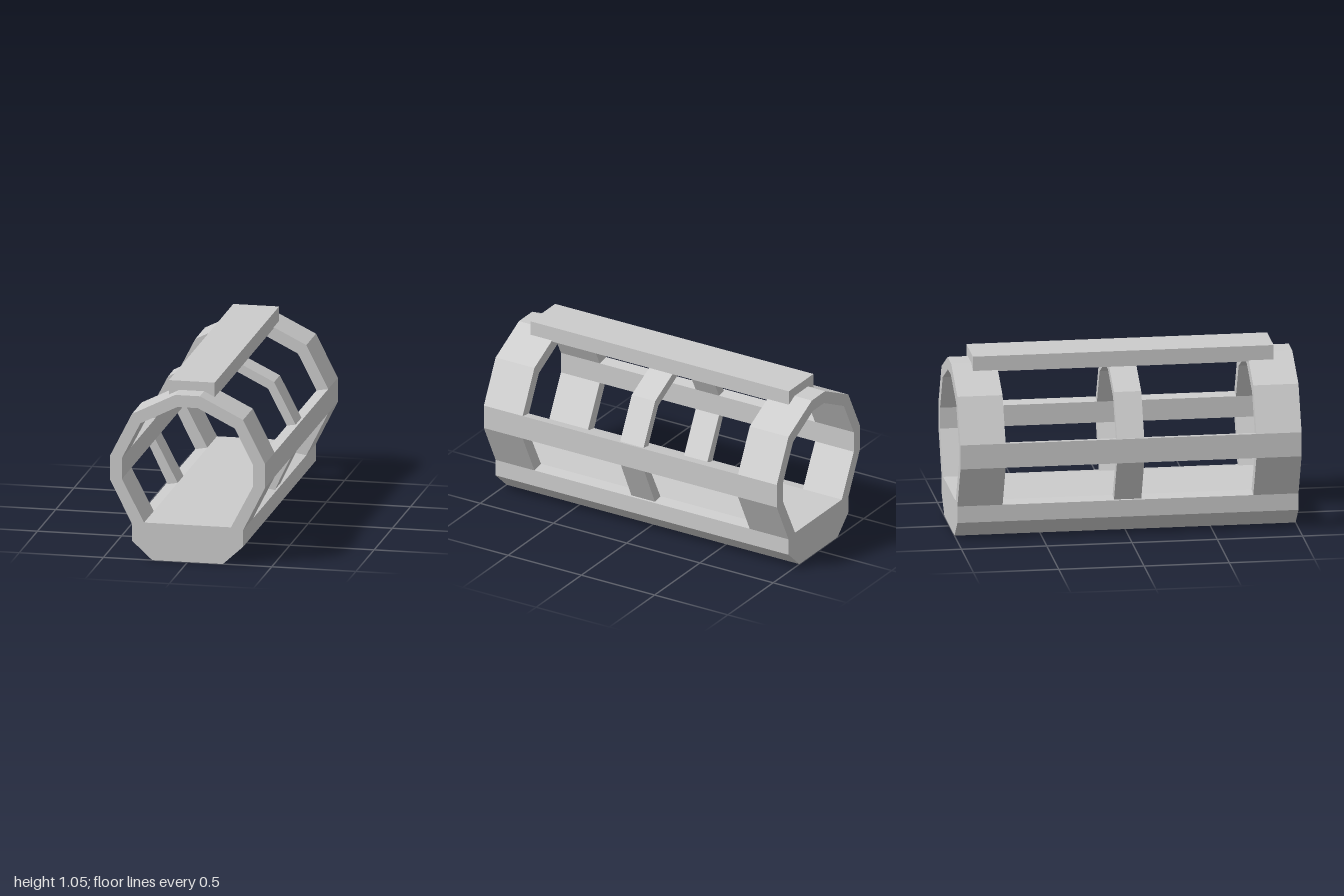
import * as THREE from 'three';

const material = new THREE.MeshStandardMaterial({ color: 0xcccccc, flatShading: true });

// Mirror a right-hand half profile (listed bottom to top) across x = 0
const mirrored = (half) => [...half, ...half.map(([x, y]) => [-x, y]).reverse()];

// Extrude a front outline along z between z0 and z1
function prism(name, points, z0, z1) {
  const shape = new THREE.Shape(points.map(([x, y]) => new THREE.Vector2(x, y)));
  const geometry = new THREE.ExtrudeGeometry(shape, { depth: z1 - z0, bevelEnabled: false });
  geometry.translate(0, 0, z0);
  const mesh = new THREE.Mesh(geometry, material);
  mesh.name = name;
  return mesh;
}

// Faceted arch standing on the base, open at the bottom
const arch = (outer, inner) => [...mirrored(outer), ...mirrored(inner).reverse()];

export function createModel() {
  const group = new THREE.Group();
  group.name = 'tubularFrame';

  const outer = [[0.33, 0.21], [0.46, 0.47], [0.46, 0.615], [0.33, 0.872], [0.073, 1.0]];
  const inner = [[0.258, 0.223], [0.39, 0.477], [0.39, 0.603], [0.28, 0.818], [0.061, 0.928]];
  const midOuter = [[0.318, 0.212], [0.444, 0.475], [0.444, 0.61], [0.315, 0.86], [0.068, 0.982]];

  // Solid base running the full length
  const base = mirrored([[0.21, 0], [0.33, 0.11], [0.33, 0.21], [0.258, 0.223]]);
  group.add(prism('base', base, -1, 1));

  // Wide end arches and the slimmer middle arch
  group.add(prism('frontArch', arch(outer, inner), 0.735, 1));
  group.add(prism('backArch', arch(outer, inner), -1, -0.735));
  group.add(prism('middleArch', arch(midOuter, inner), -0.08, 0.08));

  // Side rails between the end arches
  for (const [name, s] of [['leftRail', 1], ['rightRail', -1]]) {
    const rail = [[0.39, 0.477], [0.46, 0.47], [0.46, 0.615], [0.39, 0.603]];
    group.add(prism(name, rail.map(([x, y]) => [s * x, y]), -0.735, 0.735));
  }

  // Flat bar along the top
  const topBar = new THREE.Mesh(new THREE.BoxGeometry(0.272, 0.093, 1.764), material);
  topBar.name = 'topBar';
  topBar.position.y = 1.0085;
  group.add(topBar);

  return group;
}
